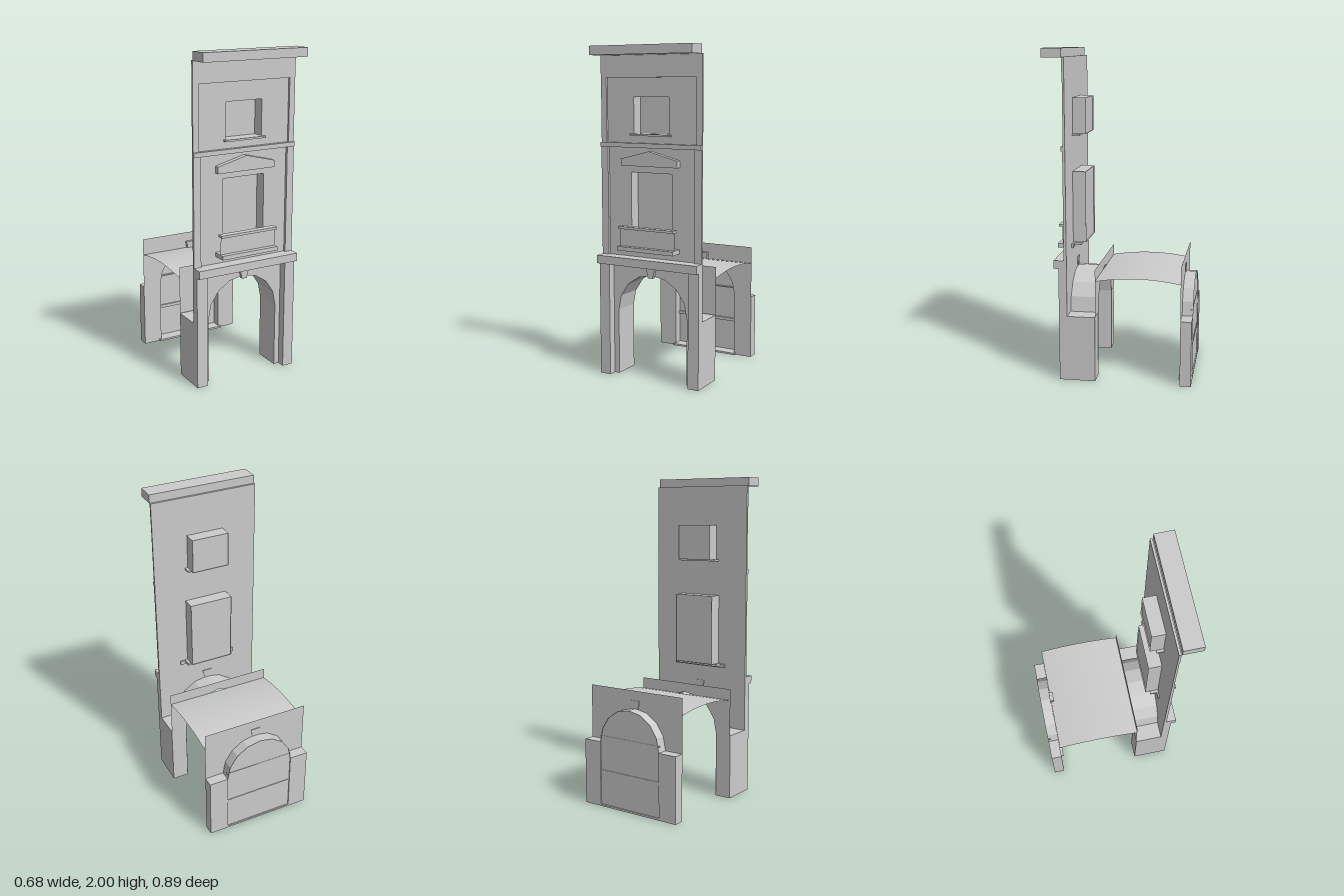
import * as THREE from 'three';

const grey = new THREE.MeshStandardMaterial({ color: 0xcccccc, side: THREE.DoubleSide, flatShading: true });
const smooth = new THREE.MeshStandardMaterial({ color: 0xcccccc, side: THREE.DoubleSide });
const W = 0.342; // half width of the bay

export function createModel() {
  const root = new THREE.Group();

  const add = (name, geometry, material = grey, parent = root) => {
    const mesh = new THREE.Mesh(geometry, material);
    mesh.name = name;
    parent.add(mesh);
    return mesh;
  };

  // Box given by its limits on each axis
  const box = (name, x0, x1, y0, y1, z0, z1) => {
    const g = new THREE.BoxGeometry(x1 - x0, y1 - y0, z1 - z0);
    g.translate((x0 + x1) / 2, (y0 + y1) / 2, (z0 + z1) / 2);
    return add(name, g);
  };
  const wide = (name, halfX, ...limits) => box(name, -halfX, halfX, ...limits);
  const pair = (name, x0, x1, ...limits) => {
    box(name + 'Left', x0, x1, ...limits);
    box(name + 'Right', -x1, -x0, ...limits);
  };

  // Round-headed opening outline, from the right foot over the crown to the left foot
  const archPoints = (r, spring, foot = 0, n = 8) => {
    const pts = [new THREE.Vector2(-r, foot)];
    for (let i = 0; i <= n; i++) {
      const a = Math.PI * (1 - i / n);
      pts.push(new THREE.Vector2(r * Math.cos(a), spring + r * Math.sin(a)));
    }
    pts.push(new THREE.Vector2(r, foot));
    return pts;
  };

  const rectPoints = (hx, y0, y1) => [[-hx, y0], [hx, y0], [hx, y1], [-hx, y1]]
    .map(([x, y]) => new THREE.Vector2(x, y));

  // Flat sheet with optional holes, standing at depth z
  const sheet = (name, points, z, holes = []) => {
    const s = new THREE.Shape(points);
    holes.forEach(h => s.holes.push(new THREE.Path(h)));
    return add(name, new THREE.ShapeGeometry(s).translate(0, 0, z));
  };

  // Wall whose opening cuts through its foot
  const archedWall = (name, z, top, foot, opening) => sheet(name, [
    new THREE.Vector2(-W, foot), ...opening, new THREE.Vector2(W, foot),
    new THREE.Vector2(W, top), new THREE.Vector2(-W, top)], z);

  // Ribbon following an outline between two depths
  const reveal = (name, pts, z0, z1) => {
    const g = new THREE.PlaneGeometry(1, 1, pts.length - 1, 1);
    const p = g.attributes.position;
    for (let i = 0; i < p.count; i++) {
      const q = pts[i % pts.length];
      p.setXYZ(i, q.x, q.y, i < pts.length ? z0 : z1);
    }
    add(name, g);
  };

  // Solid cut from a front outline
  const slab = (name, coords, z0, z1) => {
    const s = new THREE.Shape(coords.map(([x, y]) => new THREE.Vector2(x, y)));
    const g = new THREE.ExtrudeGeometry(s, { depth: z1 - z0, bevelEnabled: false });
    add(name, g.translate(0, 0, z0));
  };

  // Front arcade: outer and inner arched walls, piers and pilasters
  const rF = 0.238, spring = 0.405;
  archedWall('arcadeFront', 0.31, 0.75, 0, archPoints(rF, spring));
  archedWall('arcadeBack', 0.138, 0.7, spring, archPoints(rF, spring, spring));
  reveal('archSoffit', archPoints(rF, spring), 0.31, 0.138);
  pair('pier', rF, W, 0, spring, 0.14, 0.31);
  pair('arcadePilaster', 0.272, W, 0, 0.7, 0.31, 0.36);
  slab('frontKeystone', [[-0.016, 0.63], [0.016, 0.63], [0.032, 0.697], [-0.032, 0.697]], 0.305, 0.33);
  wide('arcadeEntablature', W, 0.7, 0.75, 0.31, 0.388);

  // Upper facade with window openings
  const windows = [
    { name: 'middleWindow', hx: 0.14, y0: 0.822, y1: 1.26 },
    { name: 'upperWindow', hx: 0.12, y0: 1.488, y1: 1.705 },
  ];
  sheet('facadeWall', rectPoints(W, 0.75, 1.95), 0.31, windows.map(w => rectPoints(w.hx, w.y0, w.y1)));
  for (const w of windows) {
    const r = rectPoints(w.hx, w.y0, w.y1);
    reveal(w.name + 'Reveal', [...r, r[0]], 0.31, 0.228);
    sheet(w.name + 'Pane', r, 0.235);
  }
  pair('middlePilaster', 0.295, W, 0.75, 1.41, 0.31, 0.326);
  pair('upperPilaster', 0.305, W, 1.435, 1.82, 0.31, 0.322);
  wide('stringCourse', W, 1.408, 1.435, 0.31, 0.334);
  wide('frieze', W, 1.818, 1.95, 0.31, 0.324);
  wide('cornice', W, 1.947, 2.0, 0.327, 0.444);

  // Window dressings
  wide('upperSill', 0.137, 1.478, 1.489, 0.265, 0.332);
  wide('middleSill', 0.158, 0.806, 0.822, 0.258, 0.32);
  slab('pediment', [[-0.192, 1.3], [0.192, 1.3], [0.192, 1.341], [0, 1.39], [-0.192, 1.341]], 0.312, 0.345);

  // Balcony
  wide('balconySlab', 0.19, 0.795, 0.82, 0.3, 0.396);
  wide('balconyRail', 0.19, 0.925, 0.94, 0.345, 0.387);
  sheet('balconyPanel', rectPoints(0.187, 0.82, 0.925), 0.366);

  // Shallow vault between arcade and rear wall
  const vault = new THREE.PlaneGeometry(2 * W, 0.513, 1, 10).rotateX(-Math.PI / 2).translate(0, 0, -0.1185);
  const vp = vault.attributes.position;
  for (let i = 0; i < vp.count; i++) {
    const t = (vp.getZ(i) + 0.1185) / 0.2565;
    vp.setY(i, 0.655 - 0.025 * t * t);
  }
  vault.computeVertexNormals();
  add('vaultCeiling', vault, smooth);

  // Rear wall with recessed round-headed doorway
  const rB = 0.222;
  archedWall('rearWall', -0.376, 0.735, 0, archPoints(rB, spring));
  reveal('doorwaySoffit', archPoints(rB, spring), -0.376, -0.443);
  sheet('doorPane', archPoints(rB, spring), -0.436);
  pair('doorwayPier', rB, W, 0, spring, -0.443, -0.376);
  wide('doorTransom', rB, 0.437, 0.445, -0.438, -0.425);
  wide('doorRail', rB, 0.21, 0.23, -0.44, -0.425);
  wide('doorSill', 0.235, 0, 0.012, -0.443, -0.36);
  slab('rearKeystone', [[-0.022, 0.625], [0.022, 0.625], [0.03, 0.675], [-0.03, 0.675]], -0.38, -0.355);

  return root;
}
